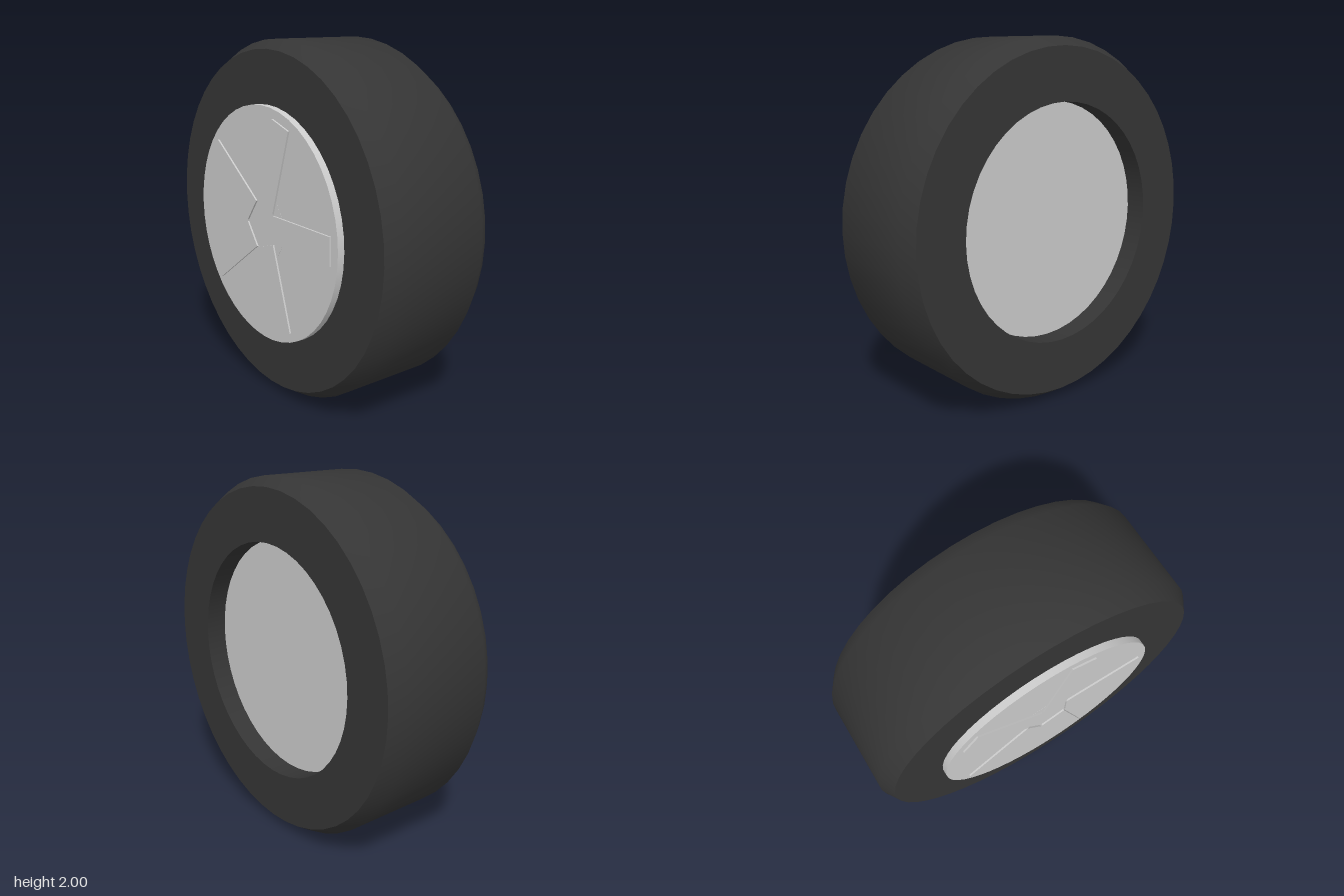
import * as THREE from 'three';
import { toCreasedNormals } from 'three/addons/utils/BufferGeometryUtils.js';

const SEGMENTS = 48;
const RIM_RADIUS = 0.66;
const RIM_FRONT = 0.36;

export function createModel() {
  const wheel = new THREE.Group();
  wheel.name = 'wheel';
  const rubber = new THREE.MeshStandardMaterial({ color: 0x353535 });
  const metal = new THREE.MeshStandardMaterial({ color: 0xcccccc });

  const add = (name, geometry, material) => {
    const mesh = new THREE.Mesh(geometry, material);
    mesh.name = name;
    mesh.position.y = 1;
    wheel.add(mesh);
    return mesh;
  };

  // Solid disc along z, between two depths
  const disc = (radius, back, front) =>
    new THREE.CylinderGeometry(radius, radius, front - back, SEGMENTS)
      .rotateX(Math.PI / 2)
      .translate(0, 0, (back + front) / 2);

  // Tyre: closed ring profile (radius, depth) with bevelled shoulders
  const profile = [
    [RIM_RADIUS, -0.37], [0.95, -0.37], [1, -0.29],
    [1, 0.24], [0.95, 0.32], [RIM_RADIUS, 0.32], [RIM_RADIUS, -0.37],
  ].map(([r, z]) => new THREE.Vector2(r, z));
  const tyre = new THREE.LatheGeometry(profile, SEGMENTS).rotateX(Math.PI / 2);
  add('tyre', toCreasedNormals(tyre, 0.7), rubber);

  // Rim: standing proud at the front, recessed at the back
  add('rim', disc(RIM_RADIUS, -0.25, RIM_FRONT), metal);
  add('hub', disc(0.2, 0.2, RIM_FRONT + 0.0005), metal);

  // Five raised spokes
  for (let i = 0; i < 5; i++) {
    const geometry = new THREE.BoxGeometry(0.49, 0.155, 0.07).translate(0.36, 0, 0.335);
    add('spoke' + (i + 1), geometry, metal).rotation.z = (i * Math.PI * 2) / 5;
  }

  return wheel;
}
